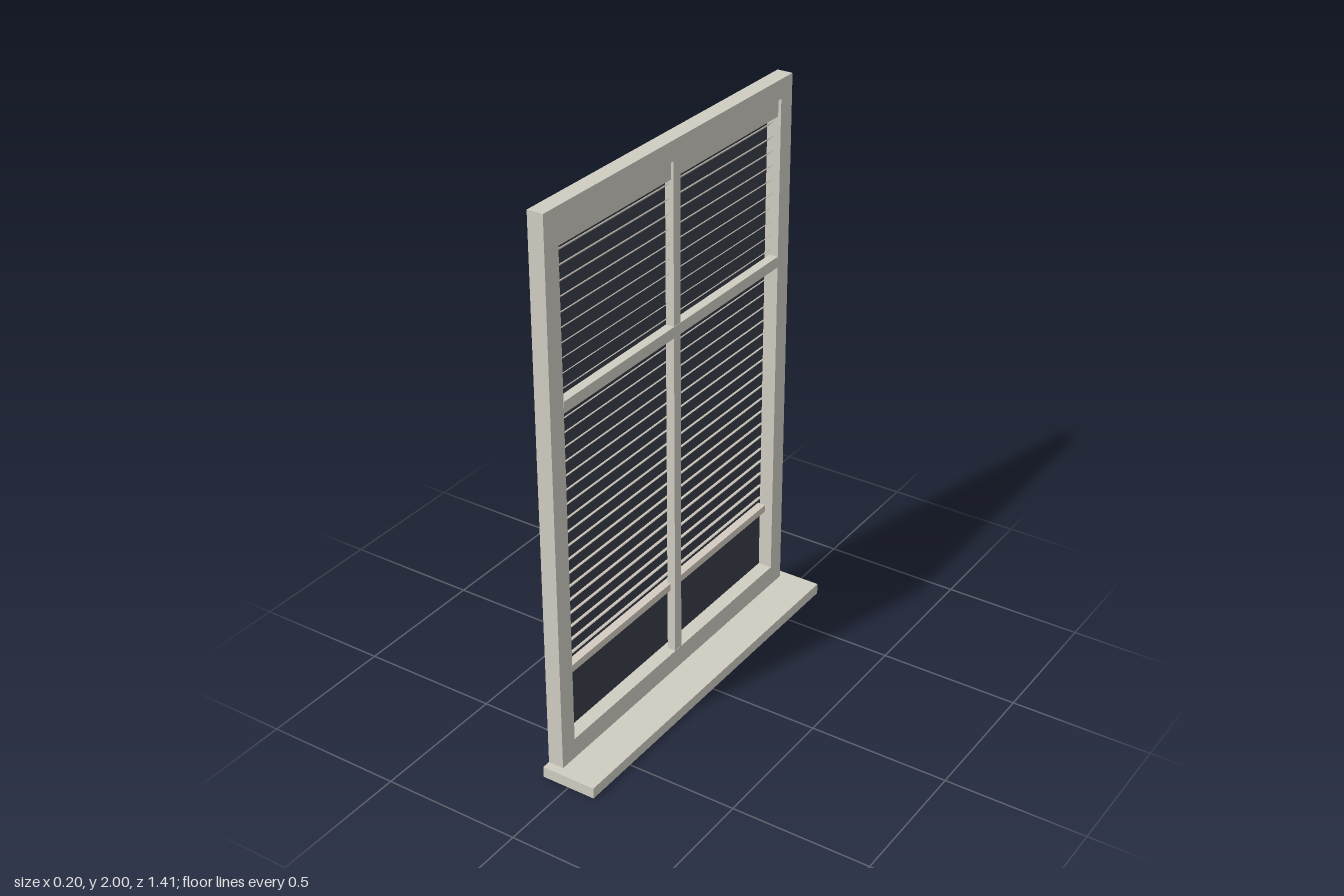
import * as THREE from 'three';

export function createModel() {
  const model = new THREE.Group();
  model.name = 'windowWithBlind';

  const material = (name, color) => {
    const m = new THREE.MeshStandardMaterial({ color });
    m.name = name;
    return m;
  };
  const framePaint = material('framePaint', 0xcfccc1);
  const blindPaint = material('blindPaint', 0xd3cbc1);
  const darkGlass = material('darkGlass', 0x383d46);

  // Box given by its lower and upper limits on each axis
  const box = (name, mat, [x0, x1], [y0, y1], [z0, z1], parent = model) => {
    const mesh = new THREE.Mesh(new THREE.BoxGeometry(x1 - x0, y1 - y0, z1 - z0), mat);
    mesh.position.set((x0 + x1) / 2, (y0 + y1) / 2, (z0 + z1) / 2);
    mesh.name = name;
    parent.add(mesh);
    return mesh;
  };

  // Outer frame and sill
  const depth = [-0.1, -0.043];
  box('sill', framePaint, [-0.1, 0.1], [0, 0.04], [-0.706, 0.706]);
  box('bottomFrameRail', framePaint, depth, [0.04, 0.115], [-0.675, 0.675]);
  box('topFrameRail', framePaint, depth, [1.932, 2], [-0.675, 0.675]);
  box('leftStile', framePaint, depth, [0.115, 1.932], [-0.675, -0.608]);
  box('rightStile', framePaint, depth, [0.115, 1.932], [0.608, 0.675]);

  // Glass close to the back of the frame
  box('glass', darkGlass, [-0.099, -0.095], [0.115, 1.932], [-0.608, 0.608]);

  // Glazing bars in front of the blind
  box('mullion', framePaint, [-0.075, -0.044], [0.115, 1.932], [-0.019, 0.019]);
  box('transom', framePaint, [-0.075, -0.043], [1.328, 1.368], [-0.607, 0.607]);

  // Blind: head rail, tilted slats and bottom rail
  const blind = new THREE.Group();
  blind.name = 'blind';
  model.add(blind);
  box('headRail', framePaint, [-0.094, -0.052], [1.87, 1.931], [-0.605, 0.605], blind);
  box('blindBottomRail', blindPaint, [-0.092, -0.062], [0.359, 0.386], [-0.59, 0.59], blind);

  const slatGeometry = new THREE.BoxGeometry(0.046, 0.003, 1.18);
  const slatCount = 29;
  for (let i = 0; i < slatCount; i++) {
    const slat = new THREE.Mesh(slatGeometry, blindPaint);
    slat.name = 'slat';
    slat.position.set(-0.076, 1.842 - i * 0.0507, 0);
    slat.rotation.z = 0.72;
    blind.add(slat);
  }

  return model;
}
